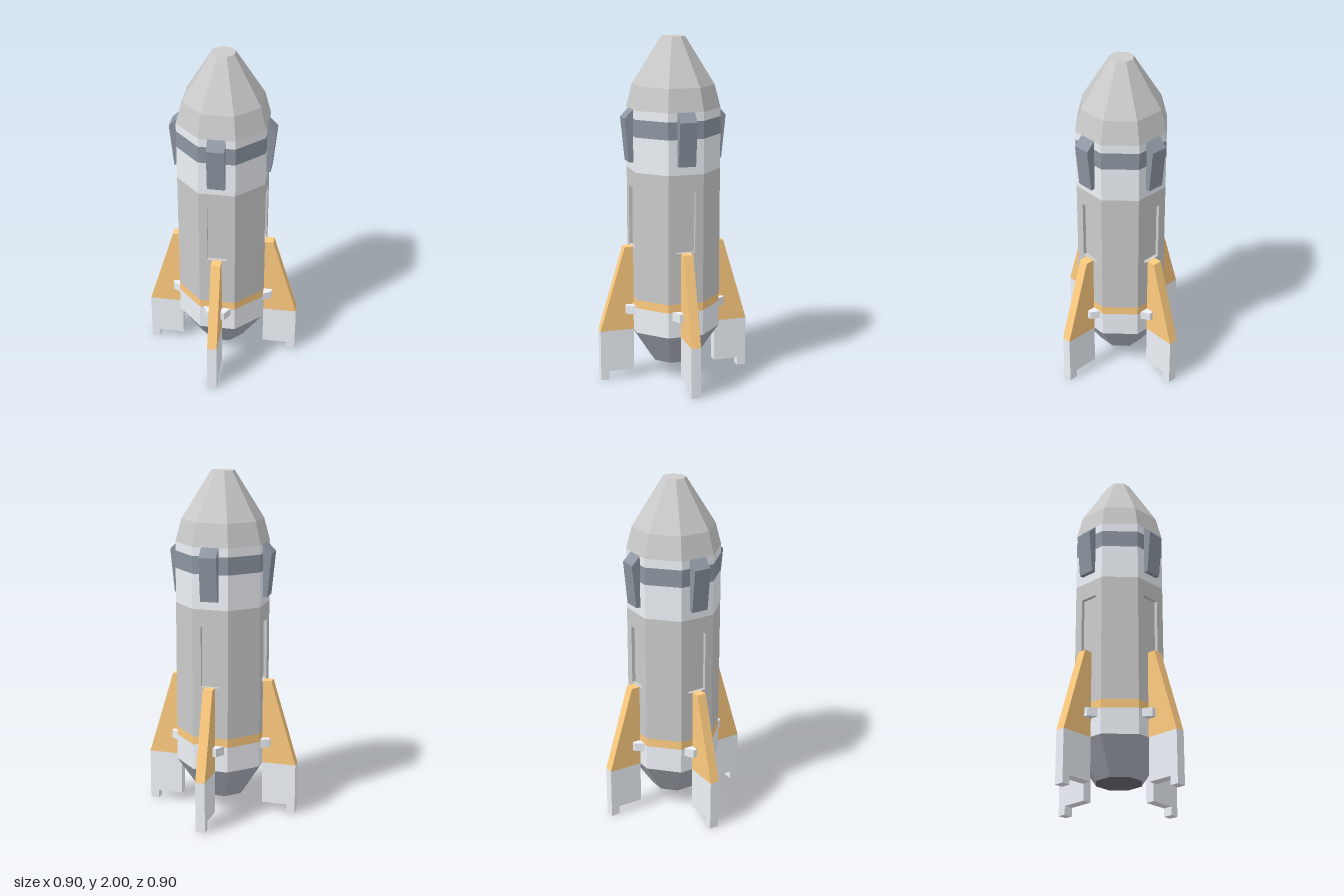
import * as THREE from 'three';

const material = (color) => new THREE.MeshStandardMaterial({ color, flatShading: true });
const grey = material(0xcccccc);
const pale = material(0xeef2f8);
const slate = material(0x8d96a2);
const steel = material(0xaeb4be);
const orange = material(0xffcc80);
const dark = material(0x6c7076);

const APOTHEM = 0.25;
const SIDE = 2 * APOTHEM * Math.tan(Math.PI / 8);
const CORNER = 1 / Math.cos(Math.PI / 8);

function part(name, geometry, mat) {
  const mesh = new THREE.Mesh(geometry, mat);
  mesh.name = name;
  return mesh;
}

const shapeOf = (points) => new THREE.Shape(points.map(([x, y]) => new THREE.Vector2(x, y)));

// Open octagonal ring with flat sides facing the axes
function ring(name, y0, y1, r0, r1, mat) {
  const g = new THREE.CylinderGeometry(r1 * CORNER, r0 * CORNER, y1 - y0, 8, 1, true, Math.PI / 8);
  g.translate(0, (y0 + y1) / 2, 0);
  return part(name, g, mat);
}

// Octagonal end cap
function cap(name, y, r, up, mat) {
  const g = new THREE.CircleGeometry(r * CORNER, 8, Math.PI / 8);
  g.rotateX(up ? -Math.PI / 2 : Math.PI / 2);
  g.translate(0, y, 0);
  return part(name, g, mat);
}

// Side profile (x = distance from axis, y = height) given a thickness
function slab(name, points, thickness, mat) {
  const g = new THREE.ExtrudeGeometry(shapeOf(points), { depth: thickness, bevelEnabled: false });
  g.translate(0, 0, -thickness / 2);
  return part(name, g, mat);
}

// Hull side with a recessed hatch, facing +z
function hatchPanel(y0, y1) {
  const group = new THREE.Group();
  group.name = 'hatchPanel';
  const w = SIDE / 2, h = 0.055, bottom = 0.8, top = 1.15, depth = 0.02;
  const shape = shapeOf([[-w, y0], [w, y0], [w, y1], [-w, y1]]);
  shape.holes.push(new THREE.Path([[-h, bottom], [-h, top], [h, top], [h, bottom]]
    .map(([x, y]) => new THREE.Vector2(x, y))));
  const frame = new THREE.ExtrudeGeometry(shape, { depth, bevelEnabled: false });
  frame.translate(0, 0, APOTHEM - depth);
  const back = new THREE.PlaneGeometry(2 * h, top - bottom);
  back.translate(0, (top + bottom) / 2, APOTHEM - depth);
  group.add(part('hatchFrame', frame, grey), part('hatch', back, grey));
  return group;
}

// Everything repeated on each of the four sides
function quarter() {
  const group = new THREE.Group();
  group.name = 'side';

  // Main hull: one hatch side and one plain diagonal side
  const plain = new THREE.PlaneGeometry(SIDE, 0.75);
  plain.translate(0, 0.875, APOTHEM);
  plain.rotateY(Math.PI / 4);
  group.add(hatchPanel(0.5, 1.25), part('hullSide', plain, grey));

  // Fin and landing leg
  group.add(slab('fin', [[0.25, 0.3], [0.45, 0.3], [0.3, 0.8], [0.25, 0.8]], 0.056, orange));
  group.add(slab('landingLeg',
    [[0.25, 0.05], [0.4, 0.05], [0.4, 0], [0.45, 0], [0.45, 0.3], [0.25, 0.3]], 0.056, pale));

  // Upper pod
  group.add(slab('upperPod', [[0.25, 1.3], [0.275, 1.3], [0.3, 1.55], [0.25, 1.6]], 0.1, slate));

  // Small tapered thruster block around the fin
  const block = new THREE.ExtrudeGeometry(
    shapeOf([[0.245, -0.08], [0.25, -0.08], [0.3, -0.05], [0.3, 0.05], [0.25, 0.08], [0.245, 0.08]]),
    { depth: 0.05, bevelEnabled: false });
  block.rotateX(-Math.PI / 2);
  block.translate(0, 0.405, 0);
  group.add(part('thrusterBlock', block, pale));
  return group;
}

export function createModel() {
  const model = new THREE.Group();
  model.name = 'rocket';
  const R = APOTHEM;

  // Hull rings from tail to nose
  model.add(
    cap('tailCap', 0.1, 0.125, false, dark),
    ring('tailCone', 0.1, 0.3, 0.125, R, steel),
    ring('lowerBand', 0.3, 0.45, R, R, pale),
    ring('orangeStripe', 0.45, 0.5, R, R, orange),
    ring('upperBand', 1.25, 1.45, R, R, pale),
    ring('windowBand', 1.45, 1.55, R, R, slate),
    ring('collar', 1.55, 1.6, R, R, pale),
    ring('noseBase', 1.6, 1.73, R, 0.218, grey),
    ring('noseCone', 1.73, 2, 0.218, 0.0625, grey),
    cap('noseCap', 2, 0.0625, true, grey),
  );

  for (let i = 0; i < 4; i++) {
    const side = quarter();
    side.rotation.y = i * Math.PI / 2;
    model.add(side);
  }
  return model;
}
